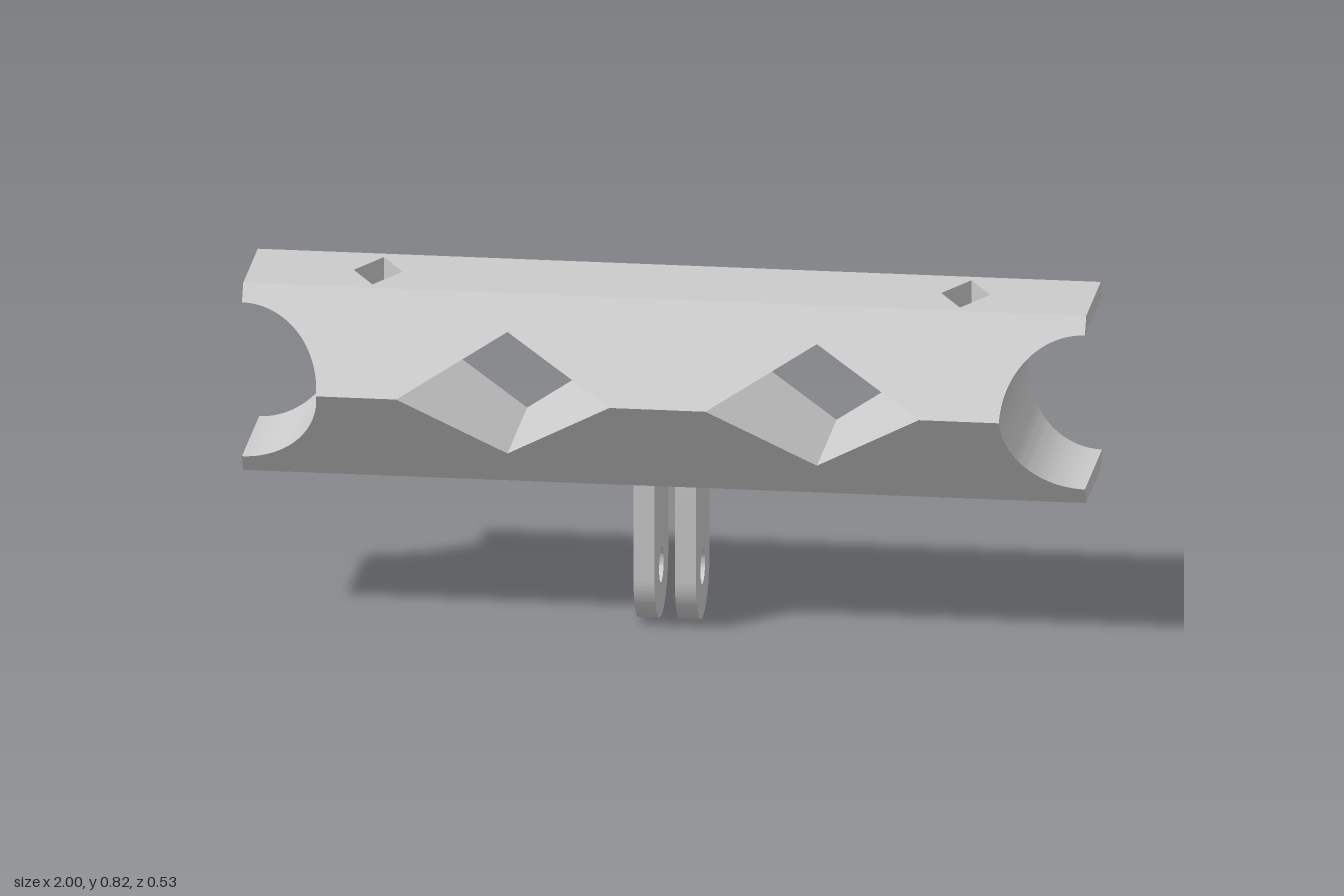
import * as THREE from 'three';
import { toCreasedNormals } from 'three/addons/utils/BufferGeometryUtils.js';

const AXIS_Y = 0.592, APOTHEM = 0.231, RADIUS = 0.266, TOP_Z = 0.133;
const SCOOP = 0.19; // radius of the round end cut-outs
const SLOT_X = 0.697, SLOT_RX = 0.058, SLOT_RZ = 0.107; // small vertical diamond slots
const material = new THREE.MeshStandardMaterial({ color: 0xcccccc });
const tunnelMaterial = new THREE.MeshStandardMaterial({ color: 0xcccccc, flatShading: true, side: THREE.DoubleSide });

// Half depth of the hexagonal bar at a height above its axis
const halfDepth = (y) => RADIUS - (RADIUS - TOP_Z) * y / APOTHEM;
const v = (x, y) => new THREE.Vector2(x, y);

function addMesh(parent, name, geometry, mat = material) {
  const mesh = new THREE.Mesh(geometry, mat);
  mesh.name = name;
  parent.add(mesh);
  return mesh;
}

// Walls spanning the bar from front to back along a counterclockwise path
function wallAlong(path) {
  const pos = [];
  for (let i = 0; i < path.length - 1; i++) {
    const a = path[i], b = path[i + 1];
    const wa = halfDepth(a.y), wb = halfDepth(b.y);
    const q = [[a.x, a.y, wa], [a.x, a.y, -wa], [b.x, b.y, -wb], [b.x, b.y, wb]];
    for (const k of [0, 1, 2, 0, 2, 3]) pos.push(...q[k]);
  }
  const g = new THREE.BufferGeometry();
  g.setAttribute('position', new THREE.Float32BufferAttribute(pos, 3));
  return toCreasedNormals(g, 0.5);
}

// Upper half of the bar, with the axis at y = 0
function createHalfBar() {
  const half = new THREE.Group();

  const rightEnd = [];
  for (let i = 0; i <= 32; i++) {
    const t = (i / 32) * Math.PI / 2;
    rightEnd.push(v(1 - SCOOP * Math.cos(t), SCOOP * Math.sin(t)));
  }
  rightEnd.push(v(1, APOTHEM));
  const leftEnd = rightEnd.map((p) => v(-p.x, p.y)).reverse();
  const notches = [-1, 1].map((s) => [v(s * 0.367 - 0.253, 0), v(s * 0.367, 0.15), v(s * 0.367 + 0.253, 0)]);

  // Sloped front and back faces
  const face = new THREE.ShapeGeometry(new THREE.Shape([...rightEnd, ...leftEnd, ...notches.flat()]));
  const p = face.attributes.position;
  for (let i = 0; i < p.count; i++) p.setZ(i, halfDepth(p.getY(i)));
  face.computeVertexNormals();
  addMesh(half, 'slopedFace', face);
  addMesh(half, 'slopedFace', face).rotation.y = Math.PI;

  // Walls of the end scoops and diamond windows
  for (const path of [rightEnd, leftEnd]) addMesh(half, 'endScoop', wallAlong(path));
  for (const path of notches) addMesh(half, 'windowWall', wallAlong(path));

  // Flat face with two small diamond slots
  const flat = new THREE.Shape([v(-1, -TOP_Z), v(1, -TOP_Z), v(1, TOP_Z), v(-1, TOP_Z)]);
  for (const s of [-1, 1]) {
    const x = s * SLOT_X;
    flat.holes.push(new THREE.Path([v(x + SLOT_RX, 0), v(x, SLOT_RZ), v(x - SLOT_RX, 0), v(x, -SLOT_RZ)]));
  }
  const flatFace = new THREE.ShapeGeometry(flat).rotateX(-Math.PI / 2).translate(0, APOTHEM, 0);
  addMesh(half, 'flatFace', flatFace);
  return half;
}

function createBar() {
  const bar = new THREE.Group();
  bar.name = 'hexagonalBar';
  for (const [name, angle] of [['upperHalf', 0], ['lowerHalf', Math.PI]]) {
    const half = createHalfBar();
    half.name = name;
    half.rotation.x = angle;
    bar.add(half);
  }
  // Vertical tunnels joining the slots
  for (const s of [-1, 1]) {
    const tunnel = new THREE.CylinderGeometry(1, 1, 2 * APOTHEM, 4, 1, true).scale(SLOT_RX, 1, SLOT_RZ);
    addMesh(bar, 'slotTunnel', tunnel, tunnelMaterial).position.x = s * SLOT_X;
  }
  bar.position.y = AXIS_Y;
  return bar;
}

// Pair of rounded mounting prongs with a bolt hole
function createMount() {
  const mount = new THREE.Group();
  mount.name = 'mount';
  const r = 0.125, top = AXIS_Y - APOTHEM, thickness = 0.05;
  const shape = new THREE.Shape();
  shape.moveTo(r, top);
  shape.lineTo(-r, top);
  shape.lineTo(-r, r);
  shape.absarc(0, r, r, Math.PI, 2 * Math.PI, false);
  shape.closePath();
  shape.holes.push(new THREE.Path().absarc(0, r, 0.042, 0, 2 * Math.PI, true));
  const extruded = new THREE.ExtrudeGeometry(shape, { depth: thickness, bevelEnabled: false, curveSegments: 40 });
  const geometry = toCreasedNormals(extruded.translate(0, 0, -thickness / 2).rotateY(Math.PI / 2), 0.5);
  for (const [name, x] of [['leftProng', 0.048], ['rightProng', -0.05]]) {
    addMesh(mount, name, geometry).position.x = x;
  }
  return mount;
}

export function createModel() {
  const model = new THREE.Group();
  model.name = 'barMount';
  model.add(createBar(), createMount());
  return model;
}
